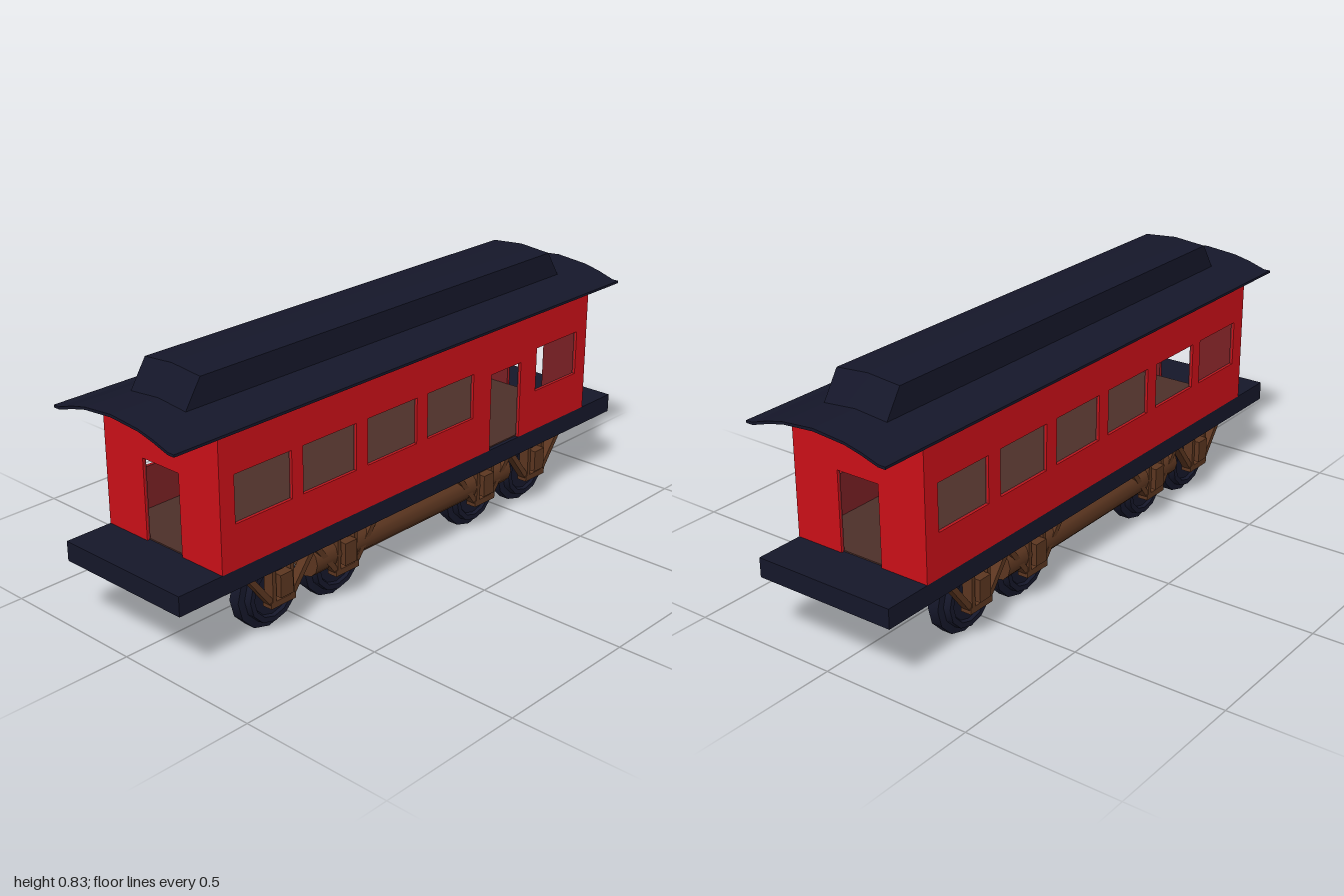
import * as THREE from 'three';
import { toCreasedNormals } from 'three/addons/utils/BufferGeometryUtils.js';

const mat = (color, side = THREE.FrontSide) => new THREE.MeshStandardMaterial({ color, side });

export function createModel() {
  const car = new THREE.Group();
  car.name = 'railwayCarriage';
  const navy = mat(0x15172a), red = mat(0xcc1018), lining = mat(0x7a2024);
  const brown = mat(0x5c3620), floorBrown = mat(0x4d302a), grey = mat(0xcccccc);

  const add = (name, geo, material, parent = car) => {
    const m = new THREE.Mesh(geo, material);
    m.name = name;
    parent.add(m);
    return m;
  };
  const box = (name, w, h, d, x, y, z, material, parent) =>
    add(name, new THREE.BoxGeometry(w, h, d).translate(x, y, z), material, parent);
  const poly = pts => new THREE.Shape(pts.map(p => new THREE.Vector2(...p)));
  const rect = (x0, x1, y0, y1) => [[x0, y0], [x1, y0], [x1, y1], [x0, y1]];
  // Extrusion running along z from z0 to z1
  const extrude = (shape, z0, z1) =>
    new THREE.ExtrudeGeometry(shape, { depth: z1 - z0, bevelEnabled: false }).translate(0, 0, z0);
  // Extrusion of a (-z, y) outline running along x from x0 to x1
  const extrudeX = (shape, x0, x1) => extrude(shape, x0, x1).rotateY(Math.PI / 2);

  // Platform and cabin floor
  box('platform', 0.486, 0.063, 2, 0, 0.2535, 0, navy);
  box('cabinFloor', 0.46, 0.004, 1.66, 0, 0.287, 0, floorBrown);

  // Side walls: six windows on the right, one replaced by a door on the left
  const windows = [0.675, 0.41, 0.14, -0.13, -0.4, -0.675];
  const sideShape = (hasDoor, end) => {
    const door = hasDoor ? [[0.33, 0.285], [0.33, 0.548], [0.482, 0.548], [0.482, 0.285]] : [];
    const s = poly([[-end, 0.285], ...door, [end, 0.285], [end, 0.7], [-end, 0.7]]);
    windows.forEach((z, i) => {
      if (!(hasDoor && i === 4)) s.holes.push(poly(rect(-z - 0.11, -z + 0.11, 0.425, 0.575)));
    });
    return s;
  };
  for (const s of [1, -1]) {
    const side = s > 0 ? 'left' : 'right';
    const span = (a, b) => (s > 0 ? [a, b] : [-b, -a]);
    add(side + 'Wall', extrudeX(sideShape(s > 0, 0.84), ...span(0.237, 0.243)), red);
    add(side + 'WallLining', extrudeX(sideShape(s > 0, 0.834), ...span(0.231, 0.237)), lining);
  }

  // End walls with a doorway and a curved top
  const endShape = w => poly([
    [-w, 0.285], [-0.076, 0.285], [-0.076, 0.545], [0.076, 0.545], [0.076, 0.285], [w, 0.285],
    [w, 0.7], [0.115, 0.732], [0, 0.741], [-0.115, 0.732], [-w, 0.7],
  ]);
  for (const s of [1, -1]) {
    const name = s > 0 ? 'front' : 'back';
    const span = (a, b) => (s > 0 ? [a, b] : [-b, -a]);
    add(name + 'Wall', extrude(endShape(0.242), ...span(0.834, 0.84)), red);
    add(name + 'WallLining', extrude(endShape(0.236), ...span(0.828, 0.834)), lining);
  }

  // Lower roof: two long side strips joined at each end
  for (const s of [1, -1]) {
    const strip = [[0.253, 0.698], [0.253, 0.706], [0.23, 0.706], [0.17, 0.725], [0.112, 0.738],
      [0.112, 0.73], [0.17, 0.716], [0.228, 0.698]].map(([x, y]) => [x * s, y]);
    add('roofSide', extrude(poly(strip), -1, 1), navy);
    const under = [[0.228, 0.697], [0.17, 0.716], [0.112, 0.73], [0.112, 0.727], [0.17, 0.713], [0.228, 0.694]];
    add('ceilingSide', extrude(poly(under.map(([x, y]) => [x * s, y])), -0.828, 0.828), grey);
    const cap = [[-0.112, 0.73], [0, 0.739], [0.112, 0.73], [0.112, 0.738], [0, 0.748], [-0.112, 0.738]];
    add('roofEnd', extrude(poly(cap), s > 0 ? 0.825 : -1, s > 0 ? 1 : -0.825), navy);
  }

  // Raised roof: five-point cross-sections with sloping ends, open underneath
  const raisedRoof = inset => {
    const w = 0.115 - inset, t = 0.825 - inset;
    const ring = (z, top) => [[-w, 0.732, z], [-w, top ? t : 0.732, z], [0, top ? t + 0.01 : 0.741, z],
      [w, top ? t : 0.732, z], [w, 0.732, z]];
    // The base corners of the upper rings stay on the sloping ends' foot
    const foot = 0.84 - inset, head = 0.78 - inset;
    const rings = [ring(-foot, false), ring(-head, true), ring(head, true), ring(foot, false)];
    const index = [];
    for (let r = 0; r < 3; r++) for (let i = 0; i < 4; i++) {
      const a = r * 5 + i, b = a + 1, c = a + 5, d = a + 6;
      index.push(a, c, b, b, c, d);
    }
    const g = new THREE.BufferGeometry();
    g.setAttribute('position', new THREE.Float32BufferAttribute(rings.flat(2), 3));
    // Side triangles of the end slopes come from the collapsed foot points
    g.setIndex(index);
    return toCreasedNormals(g, 0.4);
  };
  add('raisedRoof', raisedRoof(0), mat(0x15172a, THREE.DoubleSide));
  add('raisedCeiling', raisedRoof(0.004), mat(0xcccccc, THREE.DoubleSide));

  // Centre sill with tapered ends
  const sill = [[-0.9, 0.223], [-0.86, 0.165], [-0.7, 0.14], [0.7, 0.14], [0.86, 0.165], [0.9, 0.223]];
  add('centreSill', extrudeX(poly(sill), -0.07, 0.07), navy);

  // Wheel profile: flange, tread, recessed web and hub
  const wheelProfile = [[0, 0.133], [0.12, 0.133], [0.12, 0.17], [0.097, 0.172], [0.095, 0.195],
    [0.078, 0.195], [0.073, 0.185], [0.03, 0.185], [0.028, 0.195], [0, 0.195]];
  const wheelGeo = toCreasedNormals(
    new THREE.LatheGeometry(wheelProfile.map(p => new THREE.Vector2(...p)), 12), 0.6).rotateZ(-Math.PI / 2);

  // Bar between two (z, y) points, of given width along x
  const strut = (x, z0, y0, z1, y1, parent) => {
    const g = new THREE.BoxGeometry(0.03, Math.hypot(z1 - z0, y1 - y0), 0.018);
    g.rotateX(Math.atan2(z1 - z0, y1 - y0)).translate(x, (y0 + y1) / 2, (z0 + z1) / 2);
    add('strut', g, brown, parent);
  };

  // Running gear on each side
  for (const s of [1, -1]) {
    const tank = new THREE.CylinderGeometry(0.052, 0.052, 0.92, 12).rotateX(Math.PI / 2);
    add('sideBeam', tank.translate(s * 0.183, 0.167, 0), brown);
    for (const z of [0.6, 0.33, -0.325, -0.595]) {
      const unit = new THREE.Group();
      unit.name = 'wheelUnit';
      unit.position.z = z;
      car.add(unit);
      const wheel = add('wheel', wheelGeo, navy, unit);
      wheel.rotation.y = s > 0 ? 0 : Math.PI;
      wheel.position.y = 0.12;
      // Axle guards on both faces of the wheel
      for (const [guardX, boxX] of [[0.217, 0.235], [0.107, 0.088]]) {
        box('guardFoot', 0.036, 0.02, 0.1, s * guardX, 0.108, 0, brown, unit);
        box('axleBox', 0.03, 0.073, 0.05, s * boxX, 0.168, 0, brown, unit);
        for (const d of [1, -1]) {
          box('guardPost', 0.036, 0.12, 0.014, s * guardX, 0.165, d * 0.036, brown, unit);
          strut(s * guardX, d * 0.04, 0.112, d * 0.125, 0.222, unit);
        }
      }
    }
  }
  return car;
}
